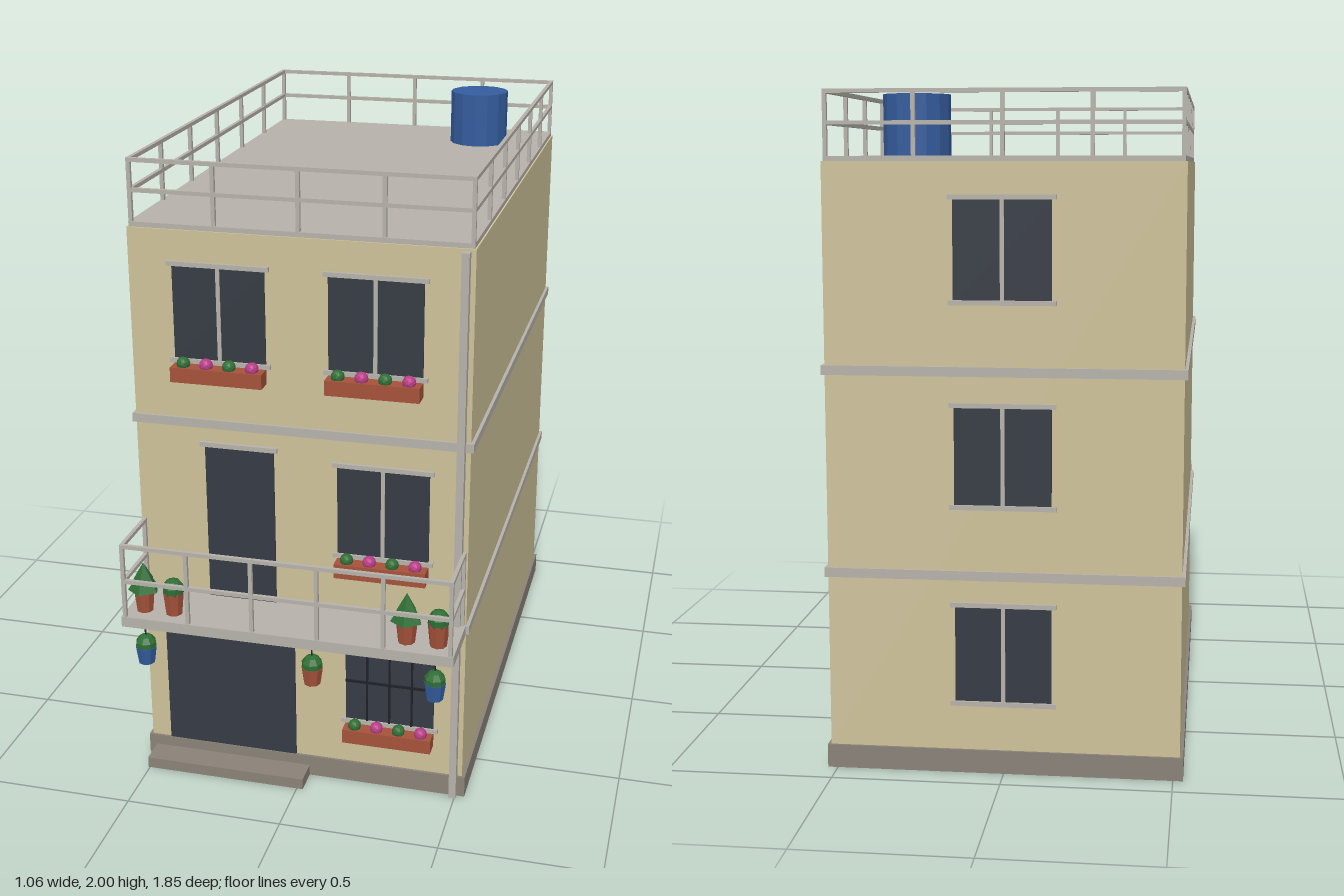
import * as THREE from 'three';

const mat = (name, color) => {
  const m = new THREE.MeshStandardMaterial({ color });
  m.name = name;
  return m;
};

export function createModel() {
  const root = new THREE.Group();
  root.name = 'townhouse';
  const wall = mat('sand plaster', 0xcfc29a);
  const trim = mat('pale concrete', 0xb6b2aa);
  const stone = mat('grey stone', 0x8a8278);
  const glass = mat('dark glass', 0x363b44);
  const iron = mat('black iron', 0x1e2126);
  const clay = mat('terracotta', 0xa5523a);
  const blue = mat('blue plastic', 0x345c9e);
  const leaf = mat('leaf green', 0x2f6e35);
  const pink = mat('pink blossom', 0xb83c86);
  for (const m of [clay, blue, leaf, pink]) m.flatShading = true;

  const add = (name, geo, material, parent = root) => {
    const mesh = new THREE.Mesh(geo, material);
    mesh.name = name;
    parent.add(mesh);
    return mesh;
  };
  // Box given by its limits on each axis
  const box = (name, m, x0, x1, y0, y1, z0, z1, parent) => {
    const b = add(name, new THREE.BoxGeometry(x1 - x0, y1 - y0, z1 - z0), m, parent);
    b.position.set((x0 + x1) / 2, (y0 + y1) / 2, (z0 + z1) / 2);
    return b;
  };
  const group = (name, x = 0, y = 0, z = 0) => {
    const g = new THREE.Group();
    g.name = name;
    g.position.set(x, y, z);
    root.add(g);
    return g;
  };

  // Main volume, plinth, step, floor bands and roof
  const F = 0.712, B = -0.91;
  box('walls', wall, -0.52, 0.52, 0.07, 1.797, B, F);
  box('plinth', stone, -0.53, 0.53, 0, 0.07, -0.917, 0.72);
  box('frontStep', stone, -0.505, 0.02, 0, 0.036, 0.72, 0.805);
  for (const y of [0.585, 1.185]) box('floorBand', trim, -0.53, 0.53, y, y + 0.028, -0.917, 0.72);
  box('roofSlab', trim, -0.515, 0.515, 1.79, 1.812, -0.905, 0.707);
  box('balconySlab', trim, -0.52, 0.52, 0.582, 0.616, F, 0.92);
  box('drainPipe', trim, 0.482, 0.505, 0, 1.79, F, 0.737);

  // Railing side: posts and two rails from one corner to another
  const T = 0.006;
  const railing = (name, a, b, y0, y1, n) => {
    const g = group(name);
    for (let i = 0; i <= n; i++) {
      const x = a[0] + (b[0] - a[0]) * i / n, z = a[1] + (b[1] - a[1]) * i / n;
      box('railPost', trim, x - T, x + T, y0, y1 - 0.002, z - T, z + T, g);
    }
    for (const y of [(y0 + y1) / 2, y1 - T])
      box('rail', trim, Math.min(a[0], b[0]) - T, Math.max(a[0], b[0]) + T, y - T, y + T,
        Math.min(a[1], b[1]) - T, Math.max(a[1], b[1]) + T, g);
  };
  railing('roofRailFront', [-0.509, 0.699], [0.509, 0.699], 1.81, 2, 4);
  railing('roofRailBack', [-0.509, -0.897], [0.509, -0.897], 1.81, 2, 4);
  railing('balconyRailFront', [-0.509, 0.912], [0.509, 0.912], 0.612, 0.86, 5);
  for (const s of [-1, 1]) {
    railing('roofRailSide', [s * 0.509, 0.699], [s * 0.509, -0.897], 1.81, 2, 6);
    railing('balconyRailSide', [s * 0.509, 0.912], [s * 0.509, 0.72], 0.612, 0.86, 1);
  }

  // Windows are built facing +z around their bottom centre
  const W = 0.142, H = 0.295;
  const makeWindow = (name, x, y, z, barred) => {
    const g = group(name, x, y, z);
    box('pane', glass, -W, W, 0, H, -0.004, 0.004, g);
    box('lintel', trim, -W - 0.014, W + 0.014, H, H + 0.014, -0.004, 0.011, g);
    box('sill', trim, -W - 0.014, W + 0.014, -0.004, 0.01, -0.004, 0.011, g);
    if (barred) {
      for (const bx of [-0.072, 0, 0.072]) box('bar', iron, bx - 0.003, bx + 0.003, 0.01, H, 0.003, 0.01, g);
      box('crossBar', iron, -W, W, 0.145, 0.152, 0.003, 0.01, g);
    } else box('mullion', trim, -0.006, 0.006, 0.01, H, 0.002, 0.008, g);
    return g;
  };
  // Planter box with alternating foliage and blossom
  const planter = (x, y) => {
    const g = group('windowPlanter', x, y, 0.742);
    box('planterBox', clay, -W, W, -0.052, -0.006, -0.03, 0.024, g);
    for (let i = 0; i < 4; i++) {
      const ball = add(i % 2 ? 'blossom' : 'foliage', new THREE.IcosahedronGeometry(0.021, 1), i % 2 ? pink : leaf, g);
      ball.position.set(-0.107 + i * 0.071, 0.002, 0);
    }
  };
  for (const [x, y, barred] of [[-0.242, 1.395], [0.233, 1.395], [0.258, 0.803], [0.283, 0.222, true]]) {
    makeWindow('frontWindow', x, y, F, barred);
    planter(x, y);
  }
  for (const y of [0.21, 0.8, 1.395]) makeWindow('backWindow', 0, y, B).rotation.y = Math.PI;

  // Garage and balcony doors
  box('garageDoor', glass, -0.455, -0.025, 0.07, 0.525, F - 0.004, F + 0.005);
  box('garageLintel', trim, -0.47, -0.012, 0.525, 0.54, F - 0.004, F + 0.012);
  box('balconyDoor', glass, -0.3, -0.082, 0.615, 1.125, F - 0.004, F + 0.005);
  box('balconyDoorLintel', trim, -0.314, -0.07, 1.125, 1.14, F - 0.004, F + 0.012);

  // Water tank
  add('waterTank', new THREE.CylinderGeometry(0.1, 0.1, 0.182, 14), blue).position.set(0.283, 1.901, -0.675);

  // Potted plants on the balcony
  const pot = (g, m, h) => {
    add('pot', new THREE.CylinderGeometry(0.034, 0.026, h, 8), m, g).position.y = h / 2;
  };
  for (const [tx, bx] of [[-0.465, -0.37], [0.365, 0.462]]) {
    const tree = group('balconyTree', tx, 0.616, 0.857);
    pot(tree, clay, 0.075);
    add('lowerCone', new THREE.ConeGeometry(0.05, 0.08, 5), leaf, tree).position.y = 0.11;
    add('upperCone', new THREE.ConeGeometry(0.034, 0.06, 5), leaf, tree).position.y = 0.132;
    const bush = group('balconyBush', bx, 0.616, 0.857);
    pot(bush, clay, 0.075);
    add('foliage', new THREE.SphereGeometry(0.035, 9, 5), leaf, bush).position.y = 0.083;
  }
  // Hanging pots below the balcony
  for (const [x, m] of [[-0.455, blue], [0.08, clay], [0.46, blue]]) {
    const g = group('hangingPot', x, 0.452, 0.89);
    pot(g, m, 0.056);
    add('foliage', new THREE.SphereGeometry(0.034, 8, 5), leaf, g).position.y = 0.062;
    box('cord', iron, -0.002, 0.002, 0.07, 0.132, -0.002, 0.002, g);
  }
  return root;
}
